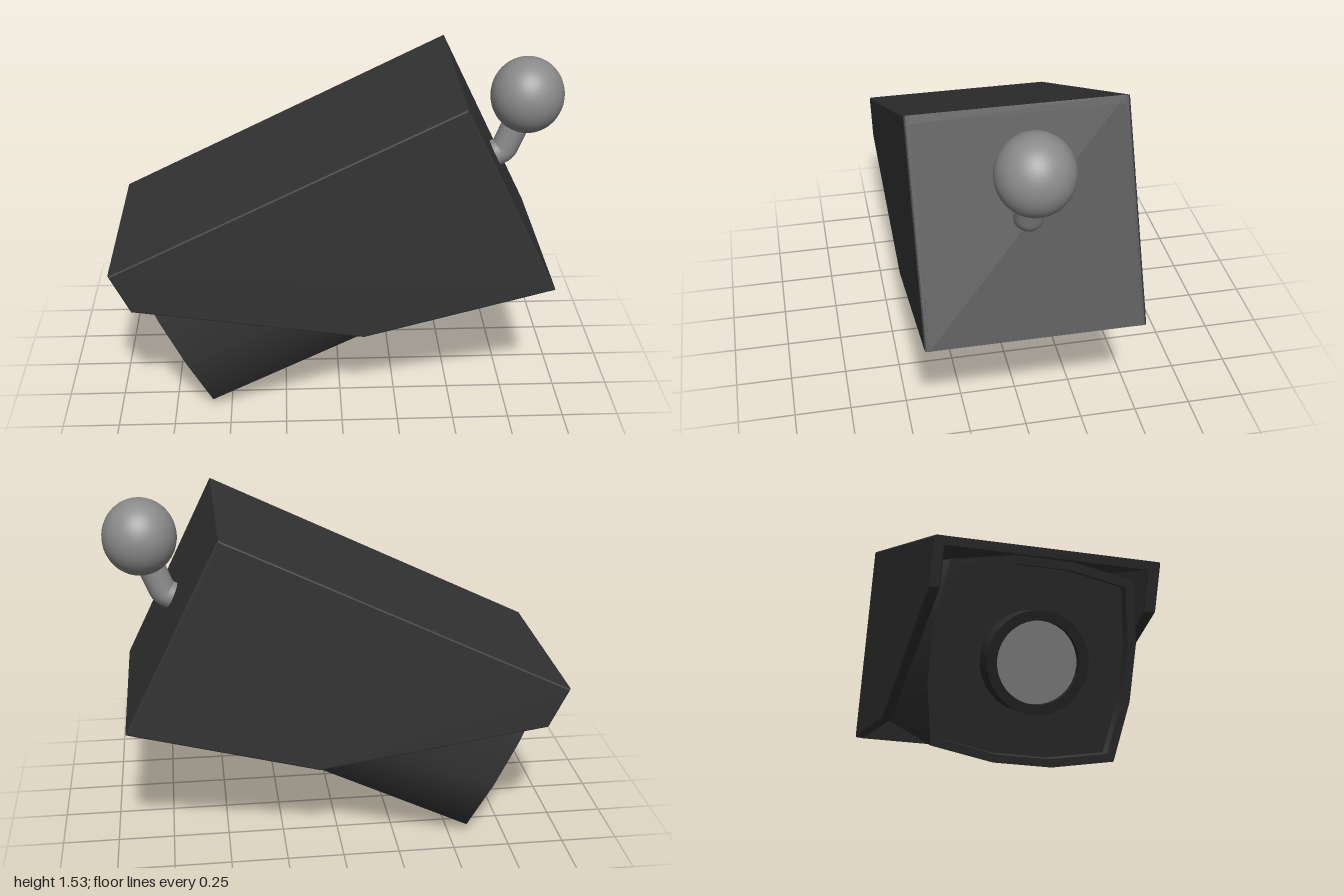
import * as THREE from 'three';
import { toCreasedNormals } from 'three/addons/utils/BufferGeometryUtils.js';

const paint = (color) => new THREE.MeshStandardMaterial({ color });
const dark = paint(0x333333);
const black = paint(0x292929);
const metal = paint(0x8a8a8a);
const glass = paint(0x999999);

function add(parent, name, geometry, material, x = 0, y = 0, z = 0) {
  const mesh = new THREE.Mesh(geometry, material);
  mesh.name = name;
  mesh.position.set(x, y, z);
  parent.add(mesh);
  return mesh;
}

// Rounded-square housing section, mirrored from one quarter
function section(scale = 1) {
  const quarter = [[0.12, 0.41], [0.375, 0.365], [0.415, 0.12]];
  const pts = [];
  for (const [sx, sy] of [[1, 1], [1, -1], [-1, -1], [-1, 1]]) {
    const q = quarter.map(([x, y]) => new THREE.Vector2(x * sx * scale, y * sy * scale));
    pts.push(...(sx * sy > 0 ? q : q.reverse()));
  }
  return pts;
}

export function createModel() {
  const model = new THREE.Group();
  model.name = 'securityCamera';

  // Tilted camera: local x runs from the lens to the rear, y = 0 is the roof
  const camera = new THREE.Group();
  camera.name = 'camera';
  camera.position.set(-1, 0.74, 0);
  camera.rotation.z = THREE.MathUtils.degToRad(26.2);
  model.add(camera);

  // Weather cover: two cut-away cheeks, a roof and a back plate
  const bevel = 0.008, L = 1.683;
  const cheek = new THREE.Shape([[bevel, -bevel], [bevel, -0.196], [0.843, -0.774],
    [L - bevel, -0.94], [L - bevel, -bevel]].map(([x, y]) => new THREE.Vector2(x, y)));
  const cheekGeo = new THREE.ExtrudeGeometry(cheek, {
    depth: 0.045 - 2 * bevel, bevelEnabled: true, bevelSize: bevel, bevelThickness: bevel, bevelSegments: 2,
  });
  cheekGeo.translate(0, 0, -0.0225 + bevel);
  for (const s of [1, -1]) add(camera, s > 0 ? 'coverSideLeft' : 'coverSideRight', cheekGeo, dark, 0, 0, s * 0.4375);
  add(camera, 'coverRoof', new THREE.BoxGeometry(L, 0.035, 0.88), dark, L / 2, -0.0175, 0);
  add(camera, 'coverBack', new THREE.BoxGeometry(0.04, 0.948, 0.88), dark, L - 0.02, -0.474, 0);

  // Housing tube with an open, recessed front
  const midY = -0.447, frontX = 0.065;
  const shell = new THREE.Shape(section());
  shell.holes.push(new THREE.Path(section(0.92).reverse()));
  const shellGeo = new THREE.ExtrudeGeometry(shell, { depth: 1.58, bevelEnabled: false });
  shellGeo.rotateY(Math.PI / 2);
  add(camera, 'housing', toCreasedNormals(shellGeo, 1.3), dark, frontX, midY, 0);
  const panelGeo = new THREE.ExtrudeGeometry(new THREE.Shape(section(0.93)), { depth: 0.03, bevelEnabled: false });
  panelGeo.rotateY(Math.PI / 2);
  add(camera, 'frontPanel', panelGeo, dark, frontX + 0.06, midY, 0);

  // Lens hood ring and recessed glass
  const ring = [[0.205, 0.16], [0.205, 0], [0.165, 0], [0.165, 0.16]].map(([r, y]) => new THREE.Vector2(r, y));
  const hoodGeo = toCreasedNormals(new THREE.LatheGeometry(ring, 32), 0.6);
  hoodGeo.rotateZ(-Math.PI / 2);
  const hoodMat = black.clone();
  hoodMat.side = THREE.DoubleSide;
  add(camera, 'lensHood', hoodGeo, hoodMat, -0.008, midY, 0);
  const lensGeo = new THREE.CylinderGeometry(0.165, 0.165, 0.03, 32);
  lensGeo.rotateZ(Math.PI / 2);
  add(camera, 'lensGlass', lensGeo, glass, 0.04, midY, 0);

  // Mounting arm: bent stem ending in a ball
  const elbow = new THREE.Vector3(0.742, 1.1, 0);
  const path = new THREE.CurvePath();
  const a = new THREE.Vector3(0.725, 1.092, 0), b = new THREE.Vector3(0.75, 1.118, 0);
  path.add(new THREE.LineCurve3(new THREE.Vector3(0.65, 1.055, 0), a));
  path.add(new THREE.QuadraticBezierCurve3(a, elbow, b));
  path.add(new THREE.LineCurve3(b, new THREE.Vector3(0.83, 1.32, 0)));
  add(model, 'mountStem', new THREE.TubeGeometry(path, 40, 0.06, 20, false), metal);
  const ball = add(model, 'mountBall', new THREE.SphereGeometry(0.162, 40, 28), metal, 0.834, 1.36, 0);
  ball.scale.y = 1.05;

  return model;
}
